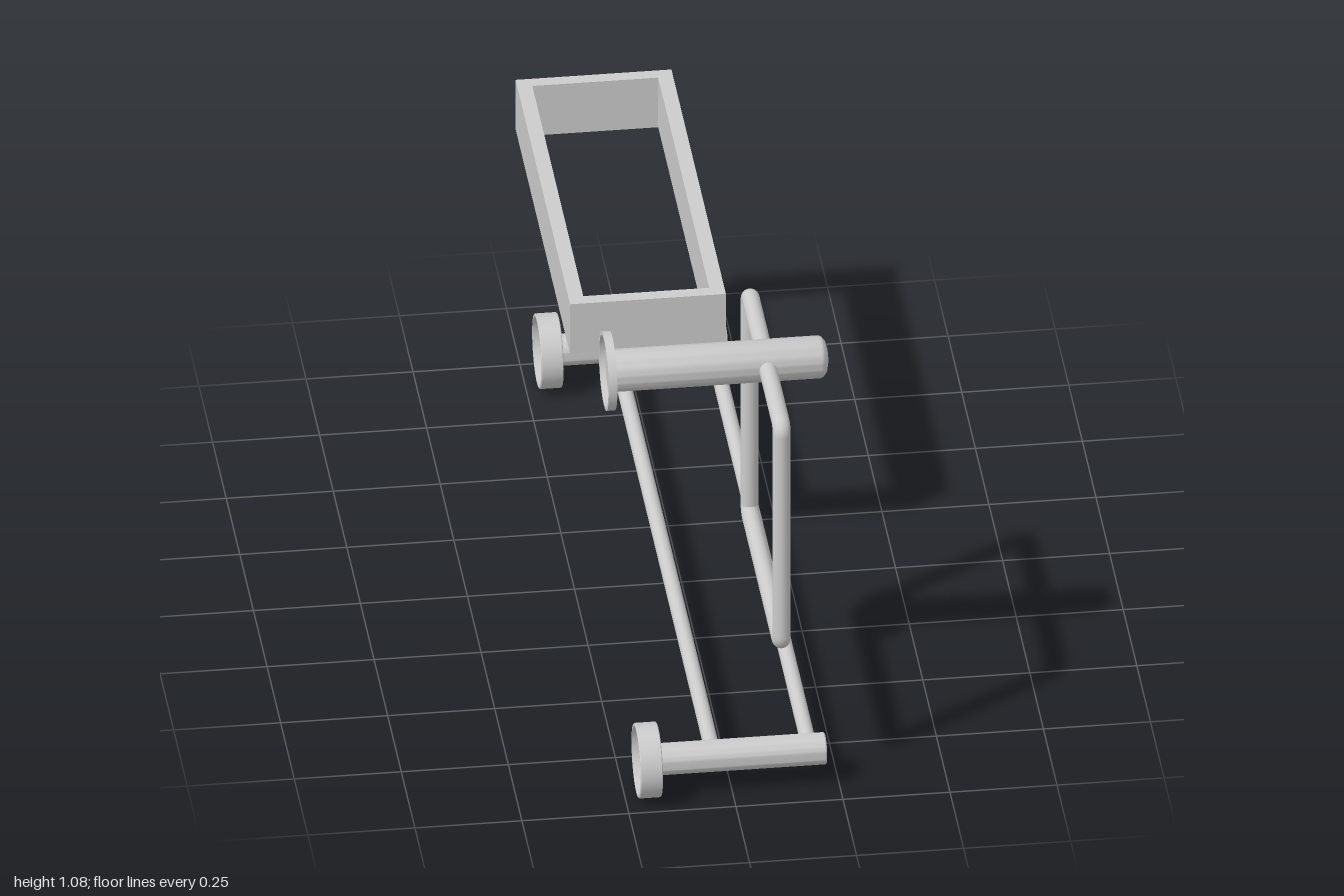
import * as THREE from 'three';
import { toCreasedNormals } from 'three/addons/utils/BufferGeometryUtils.js';

const material = new THREE.MeshStandardMaterial({ color: 0xcccccc });

function add(parent, name, geometry, x = 0, y = 0, z = 0) {
  const mesh = new THREE.Mesh(geometry, material);
  mesh.name = name;
  mesh.position.set(x, y, z);
  parent.add(mesh);
  return mesh;
}

// Turned part along +x; profile points are [x, radius]
function turned(parent, name, profile, y, z) {
  const points = profile.map(([x, r]) => new THREE.Vector2(r, x));
  const geometry = toCreasedNormals(new THREE.LatheGeometry(points, 48), 0.5);
  geometry.rotateZ(-Math.PI / 2);
  return add(parent, name, geometry, 0, y, z);
}

function createTowelRail() {
  const rail = new THREE.Group();
  rail.name = 'towelRail';
  const y = 0.09;
  for (const side of [-1, 1]) {
    // Post with its hollow wall cup
    turned(rail, 'railPost', [
      [0.2, 0], [0.2, 0.03], [-0.176, 0.03], [-0.176, 0.081], [-0.222, 0.081],
      [-0.222, 0.086], [-0.22, 0.088], [-0.172, 0.088], [-0.17, 0.086],
      [-0.17, 0.0375], [0.217, 0.0375], [0.22, 0.035], [0.22, 0],
    ], y, side * 0.912);
  }
  // Two parallel bars
  for (const x of [-0.041, 0.184]) {
    const bar = new THREE.CylinderGeometry(0.018, 0.018, 1.79, 32);
    bar.rotateX(Math.PI / 2);
    add(rail, 'railBar', bar, x, y, 0);
  }
  return rail;
}

function createTowelRing() {
  const holder = new THREE.Group();
  holder.name = 'towelRingHolder';
  const z = 0.641;
  // Post with shallow wall flange and domed tip
  turned(holder, 'ringPost', [
    [0.22, 0], [0.22, 0.04], [-0.249, 0.04], [-0.249, 0.084], [-0.263, 0.084],
    [-0.263, 0.0925], [-0.243, 0.0925], [-0.243, 0.05], [0.24, 0.05],
    [0.247, 0.047], [0.255, 0.037], [0.259, 0.02], [0.26, 0],
  ], 0.988, z);

  // Square ring: straight sides joined by quarter bends
  const ring = new THREE.Group();
  ring.name = 'squareRing';
  const half = 0.295, bend = 0.023, tube = 0.021;
  const sideGeometry = new THREE.CylinderGeometry(tube, tube, 2 * (half - bend), 32, 1, true);
  const bendGeometry = new THREE.TorusGeometry(bend, tube, 32, 12, Math.PI / 2);
  for (let i = 0; i < 4; i++) {
    const quarter = new THREE.Group();
    quarter.name = 'ringQuarter';
    quarter.rotation.z = i * Math.PI / 2;
    add(quarter, 'ringSide', sideGeometry, half, 0, 0);
    add(quarter, 'ringBend', bendGeometry, half - bend, half - bend, 0);
    ring.add(quarter);
  }
  ring.rotation.y = Math.PI / 2;
  ring.position.set(0.115, 0.694, z);
  holder.add(ring);
  return holder;
}

function rectangle(PathType, x, y, w, h) {
  return new PathType([[x, y], [x + w, y], [x + w, y + h], [x, y + h]]
    .map(([a, b]) => new THREE.Vector2(a, b)));
}

function createShelfFrame() {
  // Open rectangular frame, drawn in plan and raised along y
  const shape = rectangle(THREE.Shape, -0.265, -0.037, 0.364, 1);
  shape.holes.push(rectangle(THREE.Path, -0.23, -0.005, 0.294, 0.936));
  const geometry = new THREE.ExtrudeGeometry(shape, { depth: 0.135, bevelEnabled: false });
  geometry.rotateX(-Math.PI / 2);
  const frame = new THREE.Group();
  frame.name = 'shelf';
  add(frame, 'shelfFrame', geometry, 0, 0.666, 0);
  return frame;
}

export function createModel() {
  const model = new THREE.Group();
  model.name = 'bathroomFittings';
  model.add(createTowelRail(), createTowelRing(), createShelfFrame());
  return model;
}
